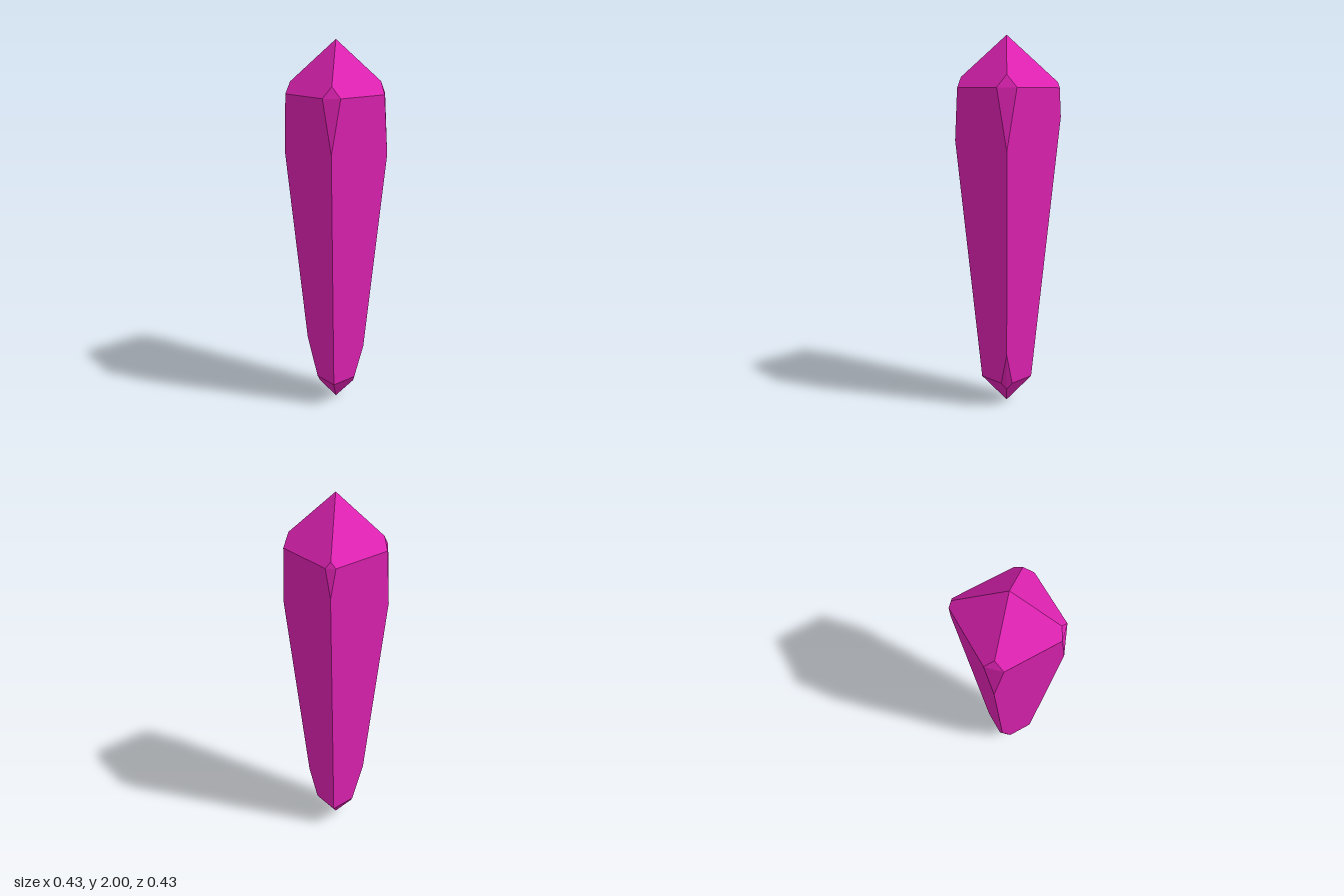
import * as THREE from 'three';
import { ConvexGeometry } from 'three/addons/geometries/ConvexGeometry.js';

// Square shaft that widens upwards, with a pyramid tip at each end
const TOP = { w: 0.213, y: 1.73, tip: 2 };
const BOTTOM = { w: 0.097, y: 0.14, tip: 0 };

// Height on the shaft, or on a tip, at half-width t
const shaftY = (t) => BOTTOM.y + ((t - BOTTOM.w) / (TOP.w - BOTTOM.w)) * (TOP.y - BOTTOM.y);
const tipY = (end, t) => end.tip + ((end.y - end.tip) * t) / end.w;

// Corners: sign of x and z, then [rim, tip, shaft] positions of each chip
const corners = [
  { sx: 1, sz: 1, top: [0.142, 0.163, 0.19], bottom: [0.055, 0.07, 0.11] },
  { sx: -1, sz: 1, top: [0.15, 0.169, 0.193] },
  { sx: 1, sz: -1, top: [0.178, 0.19, 0.202] },
  { sx: -1, sz: -1, top: [0.147, 0.167, 0.191], bottom: [0.047, 0.065, 0.1133] },
];

function cornerPoints(end, sx, sz, chip) {
  const at = (x, y, z) => new THREE.Vector3(sx * x, y, sz * z);
  if (!chip) return [at(end.w, end.y, end.w)];
  const [rim, tip, shaft] = chip;
  return [
    at(rim, end.y, end.w),
    at(end.w, end.y, rim),
    at(tip, tipY(end, tip), tip),
    at(shaft, shaftY(shaft), shaft),
  ];
}

export function createModel() {
  const group = new THREE.Group();
  group.name = 'crystalShard';

  const magenta = new THREE.MeshStandardMaterial({ color: 0xe022b3 });
  magenta.name = 'magenta crystal';
  magenta.flatShading = true;

  const points = [new THREE.Vector3(0, TOP.tip, 0), new THREE.Vector3(0, BOTTOM.tip, 0)];
  for (const { sx, sz, top, bottom } of corners) {
    points.push(...cornerPoints(TOP, sx, sz, top), ...cornerPoints(BOTTOM, sx, sz, bottom));
  }

  // The facets are the hull of the tips and chipped corners
  const crystal = new THREE.Mesh(new ConvexGeometry(points), magenta);
  crystal.name = 'crystal';
  group.add(crystal);
  return group;
}
